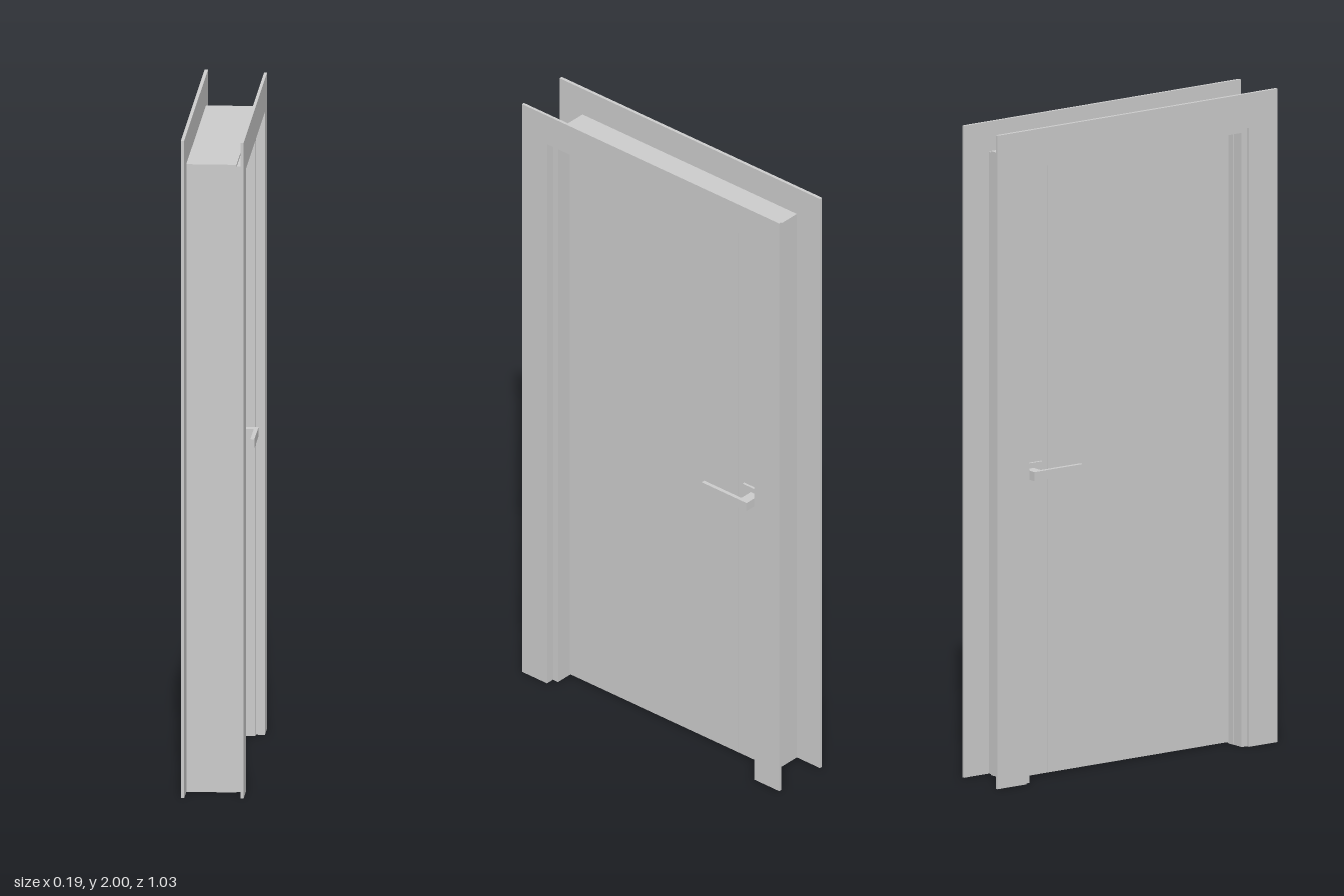
import * as THREE from 'three';

const material = new THREE.MeshStandardMaterial({ color: 0xcccccc });

export function createModel() {
  const model = new THREE.Group();
  model.name = 'doorWithFrame';

  // Box given by its min and max on each axis
  function box(name, [x0, x1], [y0, y1], [z0, z1], parent = model) {
    const mesh = new THREE.Mesh(new THREE.BoxGeometry(x1 - x0, y1 - y0, z1 - z0), material);
    mesh.position.set((x0 + x1) / 2, (y0 + y1) / 2, (z0 + z1) / 2);
    mesh.name = name;
    parent.add(mesh);
    return mesh;
  }

  // Upside-down U around the opening, extruded through the wall from x0 to x1
  function surround(name, x0, x1, outerZ, outerY, innerZ, innerY) {
    const shape = new THREE.Shape([
      [-outerZ, 0], [-innerZ, 0], [-innerZ, innerY], [innerZ, innerY],
      [innerZ, 0], [outerZ, 0], [outerZ, outerY], [-outerZ, outerY],
    ].map(([a, b]) => new THREE.Vector2(a, b)));
    const geometry = new THREE.ExtrudeGeometry(shape, { depth: x1 - x0, bevelEnabled: false });
    geometry.rotateY(Math.PI / 2);
    geometry.translate(x0, 0, 0);
    const mesh = new THREE.Mesh(geometry, material);
    mesh.name = name;
    model.add(mesh);
  }

  // Frame lining, with casings on both faces of the wall
  surround('jamb', -0.085, 0.065, 0.424, 1.91, 0.39, 1.88);
  surround('fixedCasing', -0.095, -0.085, 0.515, 2.0, 0.41, 1.895);
  surround('adjustableCasing', 0.083, 0.092, 0.509, 1.995, 0.41, 1.895);
  surround('casingTongue', 0.05, 0.083, 0.417, 1.903, 0.41, 1.895);

  // Seal strip in the lining, behind the leaf
  surround('seal', -0.046, -0.022, 0.392, 1.882, 0.387, 1.877);

  // Door leaf: main panel and lock stile, split by a shallow groove
  const leaf = new THREE.Group();
  leaf.name = 'doorLeaf';
  model.add(leaf);
  box('mainPanel', [-0.022, 0.013], [0.004, 1.879], [-0.279, 0.389], leaf);
  box('lockStile', [-0.022, 0.013], [0.004, 1.879], [-0.389, -0.282], leaf);
  box('grooveCore', [-0.02, 0.011], [0.004, 1.879], [-0.282, -0.279], leaf);

  // Lever handles on both faces
  for (const side of [1, -1]) {
    const handle = new THREE.Group();
    handle.name = side > 0 ? 'leftHandle' : 'rightHandle';
    const face = side > 0 ? 0.013 : 0.022;
    const span = (a, b) => (side > 0 ? [a, b] : [-b, -a]);
    box('rosette', span(face, face + 0.008), [0.902, 0.962], [-0.366, -0.302], handle);
    box('neck', span(face + 0.008, 0.064), [0.918, 0.946], [-0.366, -0.335], handle);
    box('lever', span(0.064, 0.076), [0.918, 0.946], [-0.366, -0.188], handle);
    model.add(handle);
  }

  return model;
}
